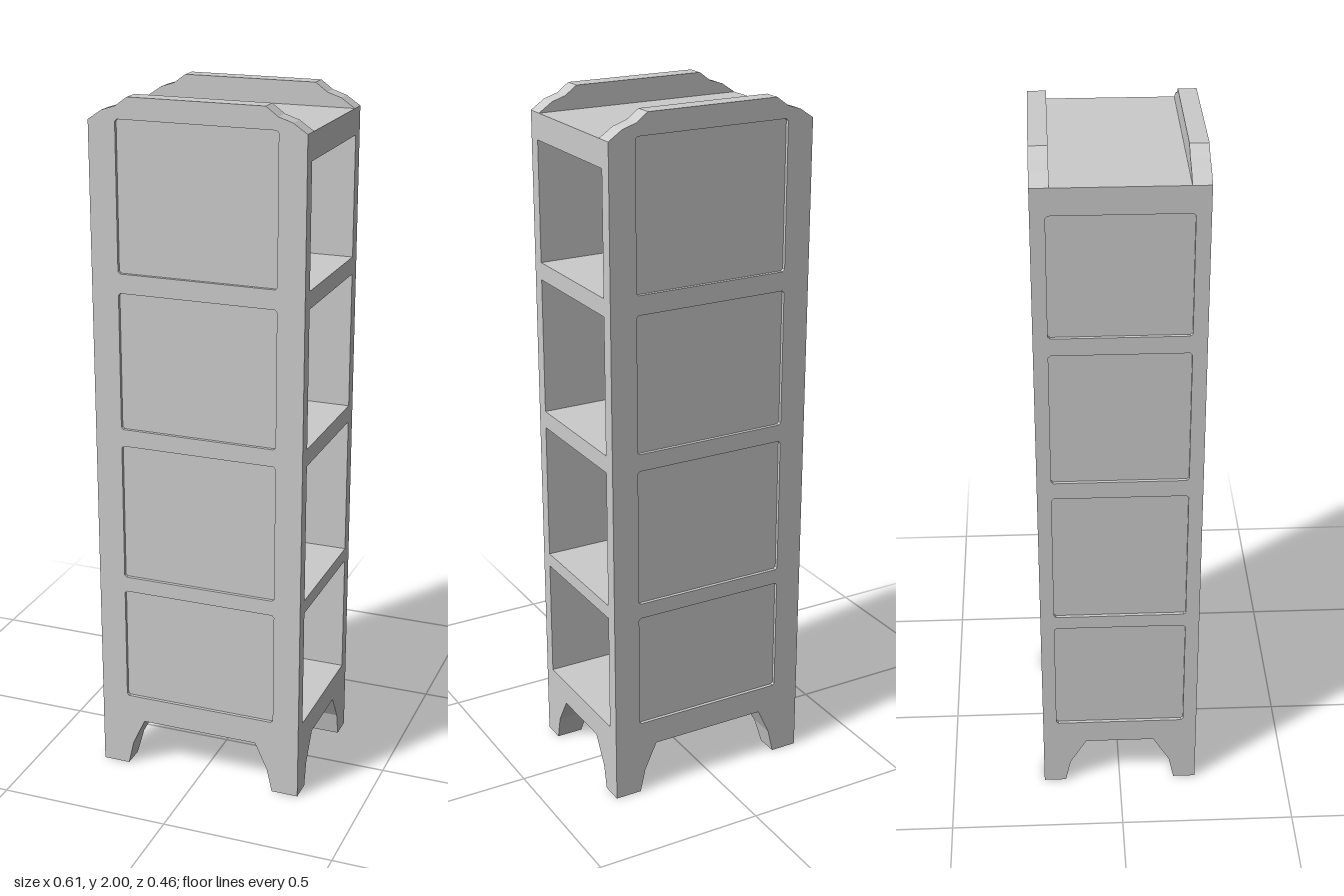
import * as THREE from 'three';

const HX = 0.307, HZ = 0.2275;      // half width and half depth
const BASE = 0.15, TOP = 1.935;     // underside and top of the case
const INSET = 0.01;                 // depth of the recessed panels
const INNER_Z = 0.19, INNER_X = -0.27;

const material = new THREE.MeshStandardMaterial({ color: 0xcccccc, flatShading: true });

function addMesh(group, name, geometry) {
  const mesh = new THREE.Mesh(geometry, material);
  mesh.name = name;
  group.add(mesh);
  return mesh;
}

// Box given by its two opposite corners
function addBox(group, name, [x0, y0, z0], [x1, y1, z1]) {
  const mesh = addMesh(group, name, new THREE.BoxGeometry(x1 - x0, y1 - y0, z1 - z0));
  mesh.position.set((x0 + x1) / 2, (y0 + y1) / 2, (z0 + z1) / 2);
}

const toPoints = (list) => list.map(([x, y]) => new THREE.Vector2(x, y));

// Right half of an outline, listed bottom to top, mirrored into a closed shape
function mirroredShape(half) {
  const left = half.map(([x, y]) => [-x, y]).reverse();
  return new THREE.Shape(toPoints([...half, ...left]));
}

// Rectangular opening with slightly clipped corners
function opening(w, y0, y1) {
  const c = 0.006;
  return new THREE.Path(toPoints([
    [-w + c, y0], [-w, y0 + c], [-w, y1 - c], [-w + c, y1],
    [w - c, y1], [w, y1 - c], [w, y0 + c], [w - c, y0],
  ]));
}

const extrude = (shape, depth) =>
  new THREE.ExtrudeGeometry(shape, { depth, bevelEnabled: false });

// Solid foot that narrows downward on its two inner faces
function footGeometry(sx, sz) {
  const innerX = [0.228, 0.212, 0.175], innerZ = [0.163, 0.148, 0.1];
  const heights = [0, 0.07, BASE];
  const g = new THREE.BoxGeometry(1, 1, 1, 1, 2, 1).toNonIndexed();
  const p = g.attributes.position;
  for (let i = 0; i < p.count; i++) {
    const level = Math.round((p.getY(i) + 0.5) * 2);
    const x = p.getX(i) * sx > 0 ? HX : innerX[level];
    const z = p.getZ(i) * sz > 0 ? HZ : innerZ[level];
    p.setXYZ(i, sx * x, heights[level], sz * z);
  }
  g.computeVertexNormals();
  return g;
}

export function createModel() {
  const model = new THREE.Group();
  model.name = 'shelfCabinet';

  const crest = [[HX, TOP], [0.267, 1.962], [0.227, 1.975], [0.193, 2]];
  const facePanels = [[0.228, 0.57], [0.615, 1.02], [1.07, 1.465], [1.52, 1.94]];
  const sidePanels = [[0.222, 0.575], [0.615, 1.02], [1.07, 1.465], [1.515, 1.86]];

  // Front and back: panelled frame, wall behind it, stepped crest rail on top
  for (const [name, turn] of [['front', 0], ['back', Math.PI]]) {
    const face = new THREE.Group();
    face.name = name + 'Face';
    face.rotation.y = turn;
    const shape = mirroredShape([[HX, BASE], ...crest]);
    facePanels.forEach(([a, b]) => shape.holes.push(opening(0.229, a, b)));
    addMesh(face, name + 'Frame', extrude(shape, INSET)).position.z = HZ - INSET;
    addBox(face, name + 'Wall', [-HX, BASE, INNER_Z], [HX, TOP, HZ - INSET]);
    addMesh(face, name + 'CrestRail', extrude(mirroredShape(crest), HZ - INSET - 0.177))
      .position.z = 0.177;
    model.add(face);
  }

  // Closed side: panelled frame and its wall
  const sideShape = mirroredShape([[HZ - INSET, BASE], [HZ - INSET, TOP]]);
  sidePanels.forEach(([a, b]) => sideShape.holes.push(opening(0.188, a, b)));
  const sideFrame = addMesh(model, 'sideFrame', extrude(sideShape, INSET));
  sideFrame.rotation.y = -Math.PI / 2;
  sideFrame.position.x = -HX + INSET;
  addBox(model, 'sideWall', [-HX + INSET, BASE, -INNER_Z], [INNER_X, TOP, INNER_Z]);

  // Shelves, floor and top, seen through the open side
  const edges = [BASE, ...sidePanels.flat(), TOP];
  for (let i = 0; i < edges.length; i += 2) {
    const name = i === 0 ? 'floor' : i === edges.length - 2 ? 'topBoard' : 'shelf';
    addBox(model, name, [INNER_X, edges[i], -INNER_Z], [HX, edges[i + 1], INNER_Z]);
  }

  // Four feet
  for (const sx of [-1, 1]) for (const sz of [-1, 1]) {
    addMesh(model, (sz > 0 ? 'front' : 'back') + (sx > 0 ? 'Left' : 'Right') + 'Foot',
      footGeometry(sx, sz));
  }
  return model;
}
